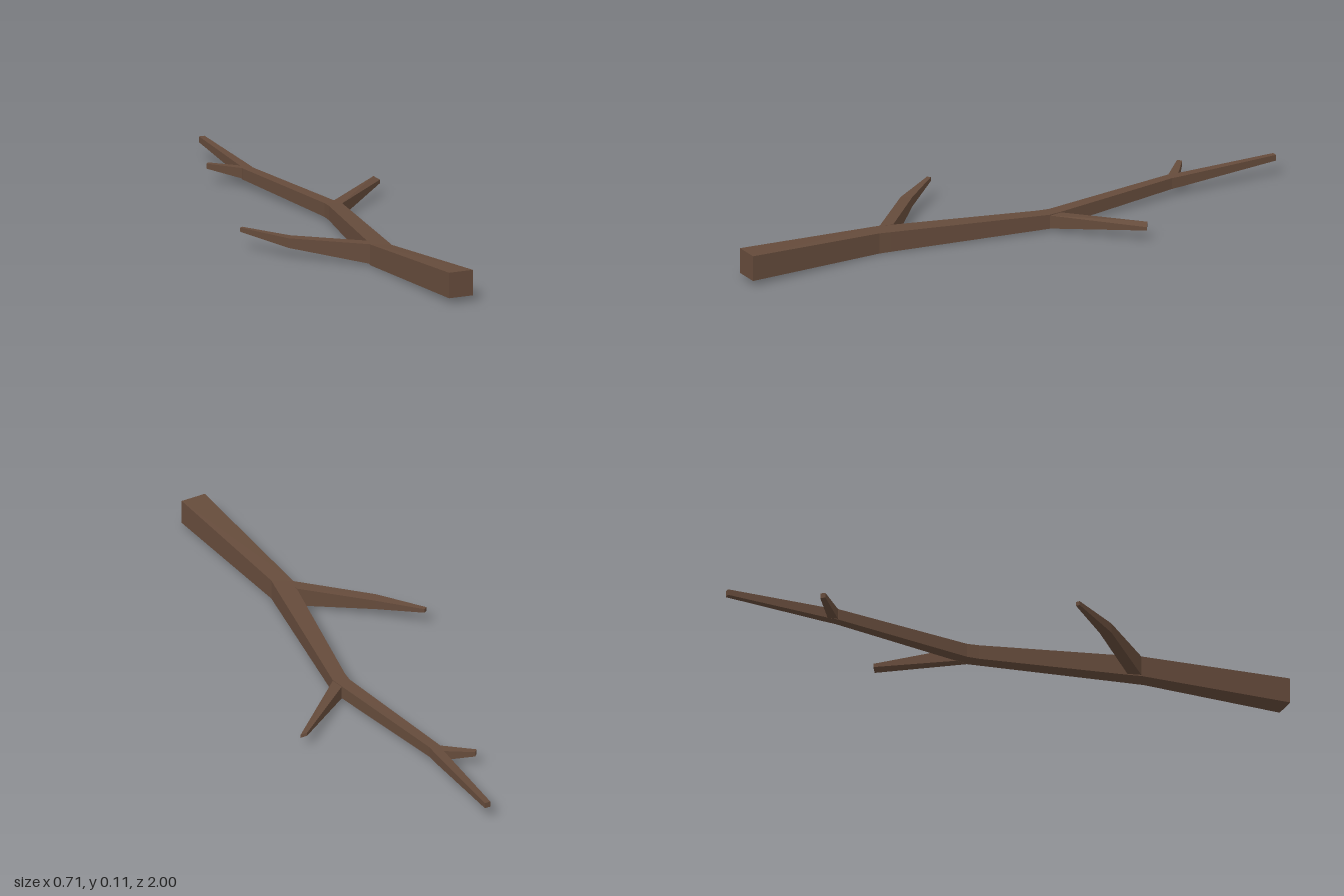
import * as THREE from 'three';

// Lofts four-sided cross-sections along a limb.
// Section: [leftX, leftZ, rightX, rightZ, bottomY, topY, drop of the right side]
function limb(name, sections, material) {
  const rings = sections.map(([lx, lz, rx, rz, y0, y1, drop = 0]) => [
    [lx, y0, lz], [rx, y0 - drop, rz], [rx, y1 - drop, rz], [lx, y1, lz],
  ]);
  const pos = [];
  const quad = (a, b, c, d) => pos.push(...a, ...b, ...c, ...a, ...c, ...d);
  for (let s = 0; s < rings.length - 1; s++) {
    const a = rings[s], b = rings[s + 1];
    for (let i = 0; i < 4; i++) {
      const j = (i + 1) % 4;
      quad(a[i], b[i], b[j], a[j]);
    }
  }
  // End caps
  quad(...rings[0]);
  quad(...[...rings[rings.length - 1]].reverse());
  const geometry = new THREE.BufferGeometry();
  geometry.setAttribute('position', new THREE.Float32BufferAttribute(pos, 3));
  geometry.computeVertexNormals();
  const mesh = new THREE.Mesh(geometry, material);
  mesh.name = name;
  return mesh;
}

export function createModel() {
  const bark = new THREE.MeshStandardMaterial({ color: 0x654b3b });
  bark.name = 'brown bark';
  const group = new THREE.Group();
  group.name = 'branch';

  group.add(
    // Main stem, thick end at the front
    limb('mainStem', [
      [-0.022, 1, 0.065, 1, 0.02, 0.107],
      [-0.052, 0.455, 0.01, 0.49, 0.002, 0.073],
      [-0.041, 0.41, 0.017, 0.45, 0.003, 0.072],
      [0.053, -0.085, 0.107, -0.1, 0.01, 0.059],
      [0.056, -0.125, 0.099, -0.145, 0.011, 0.058],
      [-0.012, -0.615, 0.024, -0.61, 0.026, 0.064],
      [-0.006, -0.65, 0.026, -0.65, 0.029, 0.065],
      [0.012, -1, 0.032, -1, 0.055, 0.075],
    ], bark),
    // Bent twig on the -x side
    limb('bentTwig', [
      [-0.05, 0.455, -0.039, 0.41, 0.006, 0.073],
      [-0.256, 0.258, -0.236, 0.225, 0.036, 0.069],
      [-0.357, 0.1, -0.346, 0.092, 0.064, 0.078],
    ], bark),
    // Straight twig on the +x side
    limb('straightTwig', [
      [0.096, -0.145, 0.105, -0.1, 0.01, 0.056],
      [0.335, -0.34, 0.353, -0.327, 0.053, 0.065, 0.011],
    ], bark),
    // Short twig near the thin end
    limb('shortTwig', [
      [-0.01, -0.615, -0.004, -0.65, 0.028, 0.064],
      [-0.102, -0.701, -0.09, -0.714, 0.052, 0.069],
    ], bark),
  );
  return group;
}
